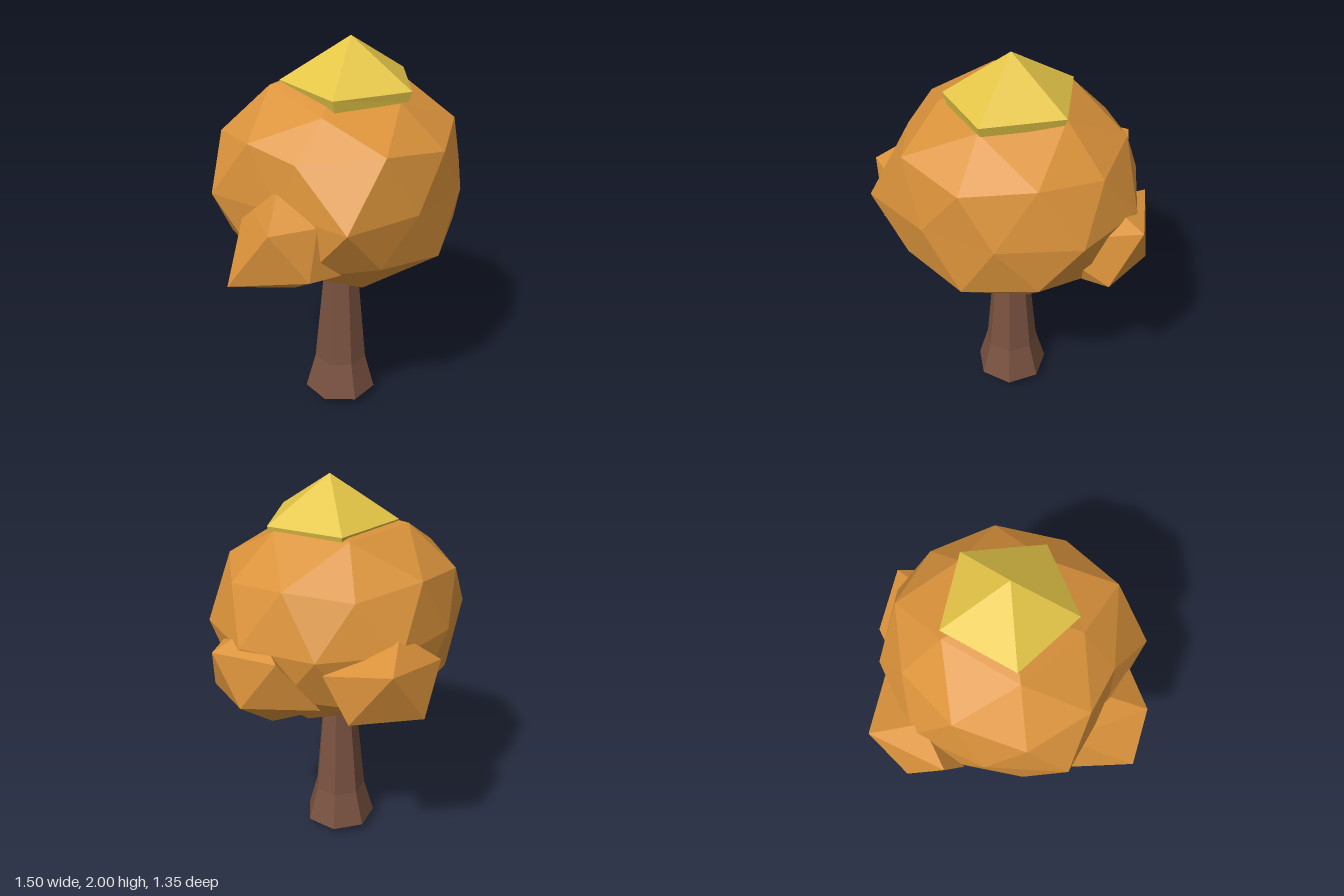
import * as THREE from 'three';
import { ConvexGeometry } from 'three/addons/geometries/ConvexGeometry.js';

const V = (x, y, z) => new THREE.Vector3(x, y, z);
const orange = new THREE.MeshStandardMaterial({ color: 0xdb933b });
orange.name = 'autumnLeaves';
const yellow = new THREE.MeshStandardMaterial({ color: 0xe4c547 });
yellow.name = 'yellowLeaves';
const brown = new THREE.MeshStandardMaterial({ color: 0x7a5240 });
brown.name = 'bark';

// faceted mesh: one normal per face
function facetedMesh(name, geometry, material) {
  const geo = geometry.index ? geometry.toNonIndexed() : geometry;
  geo.computeVertexNormals();
  const mesh = new THREE.Mesh(geo, material);
  mesh.name = name;
  return mesh;
}

// faceted lathe whose first corner points to +x
const lathe = (profile, sides) => new THREE.LatheGeometry(
  profile.map(([r, y]) => new THREE.Vector2(r, y)), sides, Math.PI / 2);

// angular clump of leaves spanned by its corners
const lobe = (name, corners) =>
  facetedMesh(name, new ConvexGeometry(corners.map((c) => V(...c))), orange);

// move the corners of a geometry that lie near a given point to a new one
function nudge(geo, moves) {
  const pos = geo.attributes.position;
  for (let i = 0; i < pos.count; i++) {
    const v = V().fromBufferAttribute(pos, i);
    const move = moves.find(([from]) => V(...from).distanceTo(v) < 0.025);
    if (move) pos.setXYZ(i, ...move[1]);
  }
  return geo;
}

// main crown: squashed icosphere with one corner up, flat underneath
function crown() {
  const tilt = Math.atan(2 / (1 + Math.sqrt(5)));
  const geo = new THREE.IcosahedronGeometry(1, 1).rotateZ(tilt).rotateY(Math.PI);
  geo.scale(0.66, 0.55, 0.62).translate(0.02, 1.3, 0.09);
  nudge(geo, [
    // widest ring
    [[-0.37, 1.3, 0.59], [-0.38, 1.3, 0.64]],
    [[-0.61, 1.3, 0.28], [-0.48, 1.3, 0.28]],
    [[0.02, 1.3, 0.71], [0.01, 1.3, 0.67]],
    [[0.41, 1.3, 0.59], [0.37, 1.3, 0.57]],
    [[-0.37, 1.3, -0.41], [-0.33, 1.3, -0.38]],
    // upper rings
    [[-0.15, 1.59, 0.59], [-0.15, 1.6, 0.62]],
    [[-0.457, 1.546, 0.416], [-0.43, 1.54, 0.33]],
    [[-0.54, 1.59, 0.09], [-0.52, 1.59, 0.09]],
    [[0.61, 1.546, 0.09], [0.59, 1.55, 0.09]],
    [[0.2, 1.546, -0.437], [0.2, 1.55, -0.41]],
    [[0.127, 1.768, 0.4], [0.12, 1.735, 0.4]],
    [[-0.26, 1.768, 0.28], [-0.25, 1.71, 0.29]],
    // lower rings
    [[0.19, 1.01, 0.59], [0.2, 1.01, 0.62]],
    [[-0.57, 1.054, 0.09], [-0.52, 1.05, 0.08]],
    [[-0.327, 0.832, 0.09], [-0.28, 0.88, 0.09]],
    [[0.02, 0.75, 0.09], [0.02, 0.83, 0.09]],
  ]);
  return facetedMesh('crown', geo, orange);
}

export function createModel() {
  const tree = new THREE.Group();
  tree.name = 'tree';

  // trunk with flared foot
  const trunk = facetedMesh('trunk',
    lathe([[0, 0.05], [0.19, 0.05], [0.138, 0.24], [0.08, 0.87], [0, 0.87]], 7), brown);
  trunk.position.set(0.022, 0, 0.095);
  tree.add(trunk);

  // small root tips under the foot
  [[0.105, 0.07], [-0.085, 0.065], [-0.02, 0.185]].forEach(([x, z], i) => {
    const root = facetedMesh('rootTip' + (i + 1),
      lathe([[0, 0], [0.03, 0.015], [0.06, 0.055], [0, 0.06]], 3), brown);
    root.position.set(x, 0, z);
    root.rotation.y = i * 0.8;
    tree.add(root);
  });

  // leaves
  tree.add(crown());
  tree.add(lobe('rightLobe', [
    [-0.75, 1.0, 0.24], [-0.63, 1.28, 0.4], [-0.48, 1.04, 0.5], [-0.49, 1.4, 0.27],
    [-0.42, 1.29, 0.48], [-0.39, 0.87, 0.25], [-0.42, 0.98, -0.16], [-0.3, 1.02, 0.5],
    [-0.48, 1.28, 0.0], [-0.25, 0.92, 0.27],
  ]));
  tree.add(lobe('leftLobe', [
    [0.75, 1.27, -0.02], [0.69, 1.02, 0.14], [0.68, 1.02, -0.16], [0.55, 1.28, -0.3],
    [0.58, 1.27, 0.17], [0.35, 1.01, -0.34], [0.46, 0.82, -0.02], [0.52, 1.37, -0.01],
    [0.47, 1.2, 0.28], [0.42, 1.02, 0.22],
  ]));
  tree.add(lobe('backLobe', [
    [0.16, 1.29, -0.68], [-0.04, 1.01, -0.64], [-0.2, 1.23, -0.52], [0.29, 1.0, -0.51],
    [-0.15, 0.94, -0.43], [0.17, 0.89, -0.34], [0.0, 1.38, -0.47], [0.37, 1.23, -0.41],
    [-0.22, 1.1, -0.42], [0.0, 1.1, -0.25],
  ]));

  // yellow tuft on top, its rim hanging lower at one side
  const tuftShape = nudge(lathe([[0, 1.74], [0.318, 1.738], [0.335, 1.788], [0, 2]], 5), [
    [[-0.257, 1.738, 0.187], [-0.232, 1.7, 0.18]],
    [[-0.257, 1.738, -0.187], [-0.262, 1.72, -0.178]],
    [[-0.271, 1.788, 0.197], [-0.255, 1.78, 0.19]],
  ]);
  const tuft = facetedMesh('topTuft', tuftShape, yellow);
  tuft.position.set(0.053, 0, 0.115);
  tree.add(tuft);

  return tree;
}
